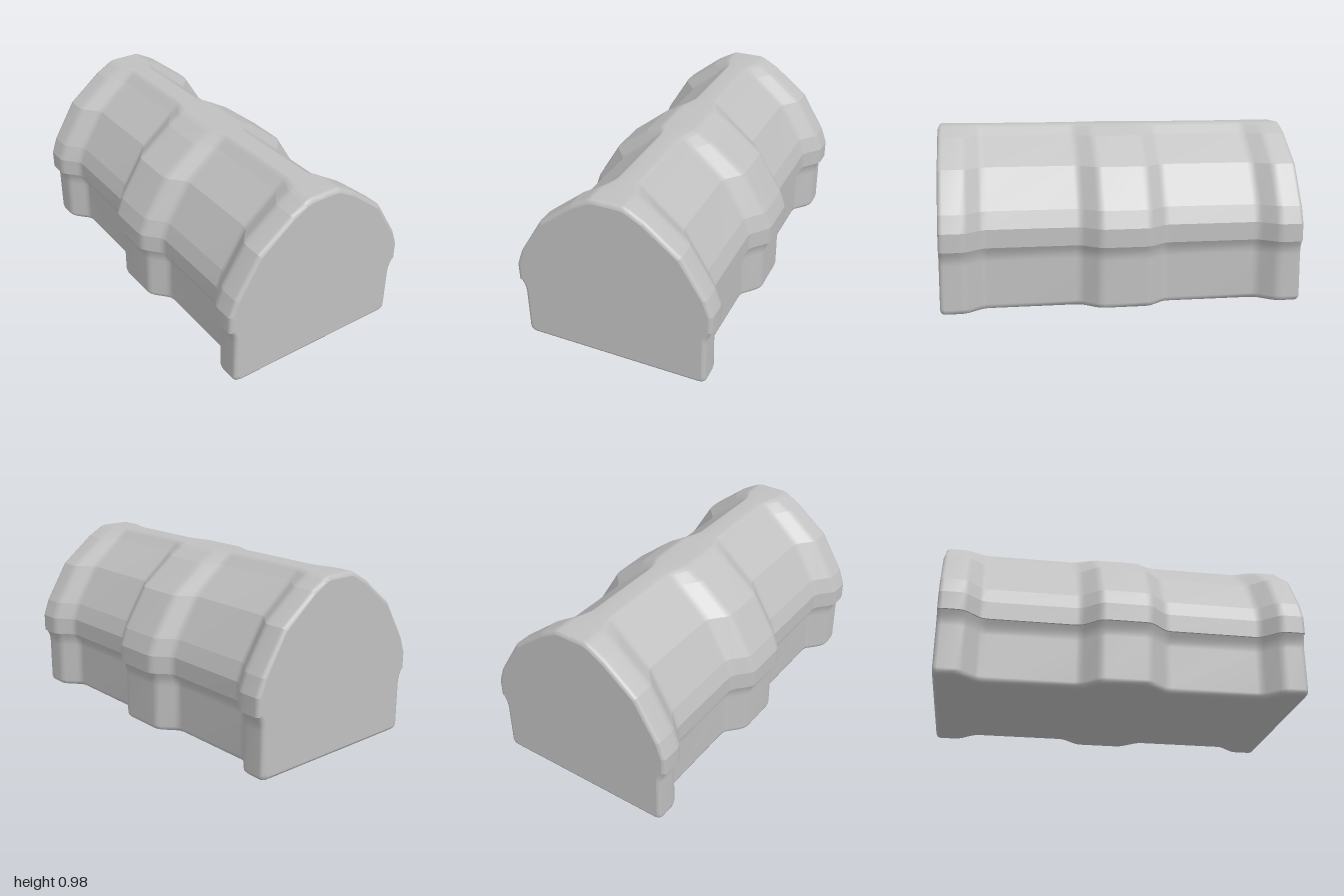
import * as THREE from 'three';

// Half outlines of the wide section, one entry per panel; normals stay smooth inside a panel.
const FLOOR = [[0, 0], [0.5, 0]];
const WALL = [[0.5, 0], [0.515, 0.004], [0.526, 0.014], [0.53, 0.03], [0.53, 0.27], [0.533, 0.3], [0.543, 0.327], [0.555, 0.35]];
const LIP = [[0.555, 0.35], [0.565, 0.35]];
const ROOF = [
  [[0.565, 0.35], [0.565, 0.45]],
  [[0.565, 0.45], [0.53, 0.545]],
  [[0.53, 0.545], [0.395, 0.765]],
  [[0.395, 0.765], [0.2, 0.92]],
  [[0.2, 0.92], [0.12, 0.965]],
  [[0.12, 0.965], [0.1, 0.975], [0.08, 0.98], [0, 0.98]],
];

// Stations along half the length: z, waist amount (0 wide, 1 narrow), end rounding
const HALF = [
  [0.11, 0, 0], [0.135, 0.06, 0], [0.155, 0.2, 0], [0.215, 0.8, 0], [0.235, 0.94, 0], [0.26, 1, 0],
  [0.74, 1, 0], [0.765, 0.94, 0], [0.785, 0.8, 0], [0.845, 0.2, 0], [0.865, 0.06, 0], [0.89, 0, 0],
  [0.975, 0, 0], [0.988, 0, 0.15], [0.996, 0, 0.5], [1, 0, 1],
];
const STATIONS = [...HALF.map(([z, t, e]) => [-z, t, e]).reverse(), ...HALF];

// Place an outline point at a station
function place([x, y], [z, waist, end]) {
  const nx = x - Math.sign(x) * Math.min(0.09, 0.4 * Math.abs(x)) * waist;
  return [nx * (1 - 0.04 * end), 0.45 + (y - 0.45) * (1 - 0.045 * end), z];
}

// Sweep one outline panel along the stations
function sweep(points) {
  const n = points.length;
  const pos = [], index = [];
  STATIONS.forEach((s, j) => {
    points.forEach((p, i) => {
      pos.push(...place(p, s));
      if (i < n - 1 && j < STATIONS.length - 1) {
        const a = j * n + i;
        index.push(a, a + 1, a + n, a + 1, a + n + 1, a + n);
      }
    });
  });
  const g = new THREE.BufferGeometry();
  g.setAttribute('position', new THREE.Float32BufferAttribute(pos, 3));
  g.setIndex(index);
  g.computeVertexNormals();
  return g;
}

const mirror = (points) => points.map(([x, y]) => [-x, y]).reverse();

export function createModel() {
  const model = new THREE.Group();
  model.name = 'waistedBlock';
  const grey = new THREE.MeshStandardMaterial({ color: 0xc0c0c0 });
  grey.name = 'grey';

  const addPart = (name, panels) => {
    const part = new THREE.Group();
    part.name = name;
    for (const p of panels) {
      for (const [side, pts] of [['Left', p], ['Right', mirror(p)]]) {
        const mesh = new THREE.Mesh(sweep(pts), grey);
        mesh.name = name + side;
        part.add(mesh);
      }
    }
    model.add(part);
  };
  addPart('floor', [FLOOR]);
  addPart('wall', [WALL]);
  addPart('roofLip', [LIP]);
  addPart('roof', ROOF);

  // Flat end faces
  const half = [WALL, LIP, ...ROOF].flat();
  const outline = [...half, ...mirror(half)]
    .map((p) => place(p, [1, 0, 1]))
    .map(([x, y]) => new THREE.Vector2(x, y))
    .filter((p, i, all) => i === 0 || p.distanceTo(all[i - 1]) > 1e-5);
  for (const [name, turn] of [['frontFace', 0], ['backFace', Math.PI]]) {
    const face = new THREE.Mesh(new THREE.ShapeGeometry(new THREE.Shape(outline)), grey);
    face.name = name;
    face.rotation.y = turn;
    face.position.z = turn ? -1 : 1;
    model.add(face);
  }
  return model;
}
